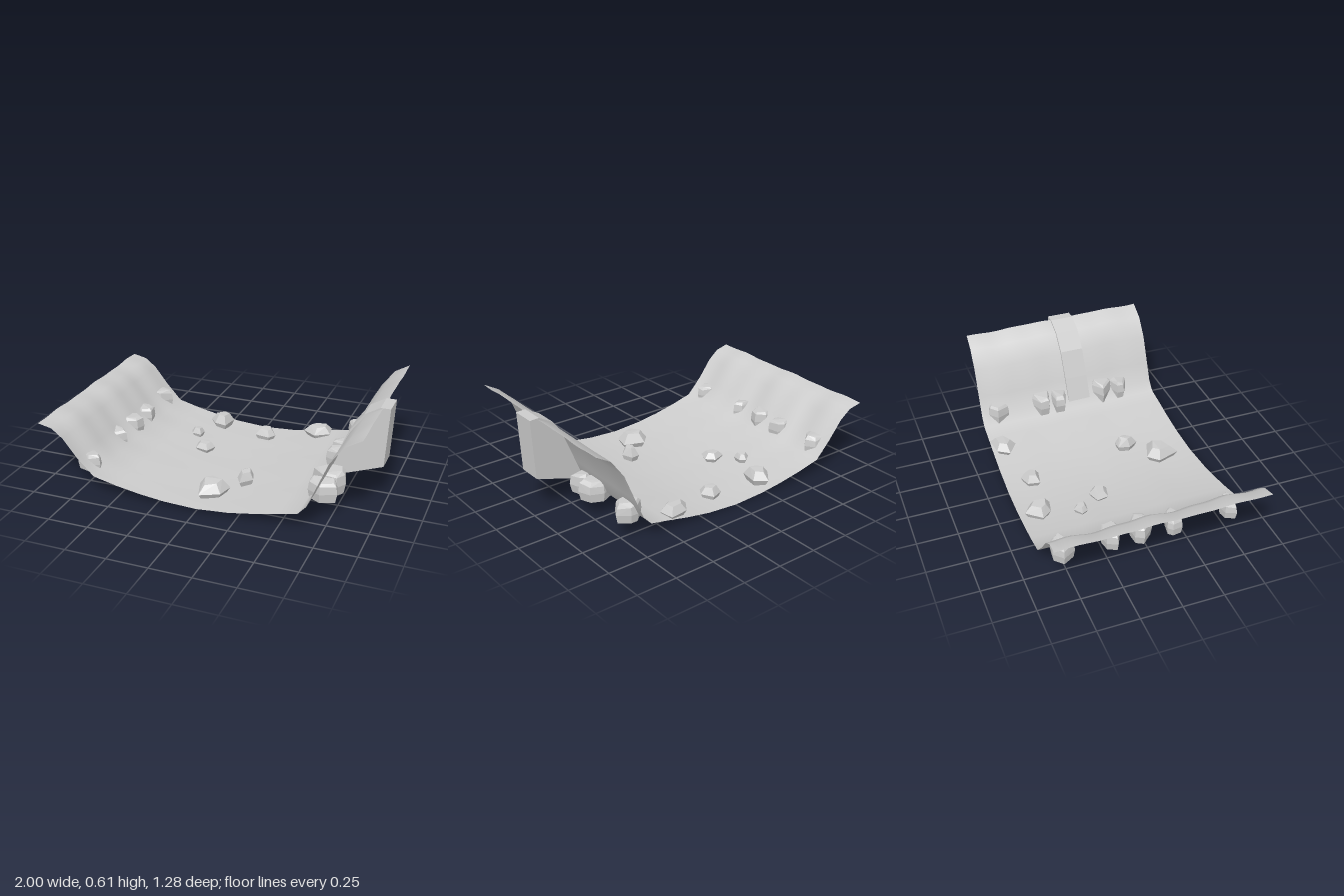
import * as THREE from 'three';
import { ConvexGeometry } from 'three/addons/geometries/ConvexGeometry.js';

const grey = new THREE.MeshStandardMaterial({ color: 0xcccccc, side: THREE.DoubleSide });
const greyFlat = new THREE.MeshStandardMaterial({ color: 0xcccccc, flatShading: true });

// Cross-section of the channel, from left bank to right bank
const PROFILE = [
  [-1, 0.405], [-0.91, 0.385], [-0.84, 0.33], [-0.75, 0.215], [-0.65, 0.11], [-0.5, 0.073],
  [-0.35, 0.045], [-0.2, 0.025], [0, 0.014], [0.2, 0.027], [0.35, 0.05], [0.5, 0.08], [0.61, 0.1],
  [0.66, 0.155], [0.71, 0.275], [0.78, 0.445], [0.86, 0.555], [0.955, 0.61],
];

function seeded(seed) {
  let s = seed * 7919 + 17;
  return () => ((s = (s * 16807) % 2147483647) / 2147483647);
}

// Thin ground sheet: the profile swept along z, with gentle ripples
function makeBed() {
  const rows = 36, n = PROFILE.length, pos = [], index = [];
  for (let j = 0; j <= rows; j++) {
    const t = (j / rows) * 2 - 1;
    PROFILE.forEach(([x, y], i) => {
      const z = t * (0.617 - 0.024 * x);
      const bank = Math.abs(x) > 0.66 ? 1 : 0.25;
      const edge = i === 0 || i === n - 1 ? 0 : 1;
      const ripple = Math.sin(z * 13 + x * 4) * 0.5 + Math.sin(z * 27 - x * 3) * 0.3;
      const shift = x < 0 ? 0.012 : 0.005;
      pos.push(x + bank * edge * ripple * shift, Math.max(0, y + z * 0.012 + bank * ripple * 0.006), z);
      if (j < rows && i < n - 1) {
        const a = j * n + i, b = a + 1, c = a + n, d = c + 1;
        index.push(a, c, b, b, c, d);
      }
    });
  }
  const g = new THREE.BufferGeometry();
  g.setAttribute('position', new THREE.Float32BufferAttribute(pos, 3));
  g.setIndex(index);
  g.computeVertexNormals();
  return g;
}

// Faceted stone: hull of stacked jittered rings, [height, radius] each
function makeStone(name, rings, sides, cx, y0, cz, w, h, d, seed) {
  const rnd = seeded(seed), turn = rnd() * 6.28, pts = [];
  const wobble = Array.from({ length: sides }, () => [0.85 + rnd() * 0.3, (rnd() - 0.5) * 0.5]);
  for (const [ry, rr] of rings) {
    wobble.forEach(([r, da], k) => {
      const a = turn + (k / sides) * Math.PI * 2 + da;
      const top = ry > 0.5 ? (rnd() - 0.5) * 0.15 : 0;
      pts.push(new THREE.Vector3(Math.cos(a) * r * rr, ry + top, Math.sin(a) * r * rr));
    });
  }
  // Fit the stone exactly into its given size
  const box = new THREE.Box3().setFromPoints(pts);
  const size = box.getSize(new THREE.Vector3());
  for (const p of pts) {
    p.sub(box.min).divide(size);
    p.set(cx + (p.x - 0.5) * w, y0 + p.y * h, cz + (p.z - 0.5) * d);
  }
  const mesh = new THREE.Mesh(new ConvexGeometry(pts), greyFlat);
  mesh.name = name;
  return mesh;
}

export function createModel() {
  const model = new THREE.Group();
  model.name = 'stonyChannel';

  const bed = new THREE.Mesh(makeBed(), grey);
  bed.name = 'channelBed';
  model.add(bed);

  // Solid buttress set into the right bank, skewed slightly along x
  const outline = [
    [0.64, 0.13], [0.98, 0.245], [1, 0.612], [0.94, 0.613],
    [0.85, 0.562], [0.772, 0.455], [0.7, 0.285],
  ].map(([x, y]) => new THREE.Vector2(x, y));
  const butt = new THREE.ExtrudeGeometry(new THREE.Shape(outline), { depth: 0.15, bevelEnabled: false });
  const p = butt.attributes.position;
  for (let i = 0; i < p.count; i++) p.setZ(i, p.getZ(i) + 0.003 - (p.getX(i) - 0.64) * 0.055);
  butt.computeVertexNormals();
  const buttress = new THREE.Mesh(butt, greyFlat);
  buttress.name = 'bankButtress';
  model.add(buttress);

  // Chunky stones along the foot of both banks: x, z, width, height, depth
  const bankRings = [[0, 0.88], [0.45, 1], [0.85, 0.92], [1, 0.72]];
  const bankStones = [
    [-0.735, -0.515, 0.165, 0.12, 0.13], [-0.735, -0.22, 0.16, 0.115, 0.12],
    [-0.735, -0.04, 0.17, 0.12, 0.13], [-0.735, 0.16, 0.15, 0.115, 0.11],
    [-0.73, 0.515, 0.15, 0.11, 0.1],
    [0.69, -0.485, 0.17, 0.12, 0.13], [0.69, -0.185, 0.2, 0.13, 0.14],
    [0.68, -0.065, 0.19, 0.125, 0.11],
    [0.69, 0.25, 0.21, 0.145, 0.15], [0.69, 0.37, 0.18, 0.13, 0.13],
  ];
  const banks = new THREE.Group();
  banks.name = 'bankStones';
  bankStones.forEach(([x, z, w, h, d], i) =>
    banks.add(makeStone('bankStone', bankRings, 6, x, 0.1, z, w, h, d, i + 3)));
  model.add(banks);

  // Low angular stones lying on the bed: x, base, z, width, height, depth
  const bedRings = [[0, 0.75], [0.45, 1], [1, 0.55]];
  const bedStones = [
    [-0.28, 0.022, -0.51, 0.15, 0.093, 0.17], [0.06, 0.005, -0.455, 0.13, 0.08, 0.12],
    [0.39, 0.048, -0.53, 0.18, 0.075, 0.15], [-0.36, 0.04, -0.27, 0.085, 0.06, 0.085],
    [-0.24, 0.025, -0.11, 0.13, 0.06, 0.12], [0.165, 0.02, 0.23, 0.1, 0.095, 0.14],
    [0.02, 0.012, 0.41, 0.19, 0.098, 0.21],
  ];
  const bedGroup = new THREE.Group();
  bedGroup.name = 'bedStones';
  bedStones.forEach(([x, y, z, w, h, d], i) =>
    bedGroup.add(makeStone('bedStone', bedRings, 5, x, y, z, w, h, d, i + 41)));
  model.add(bedGroup);

  return model;
}
